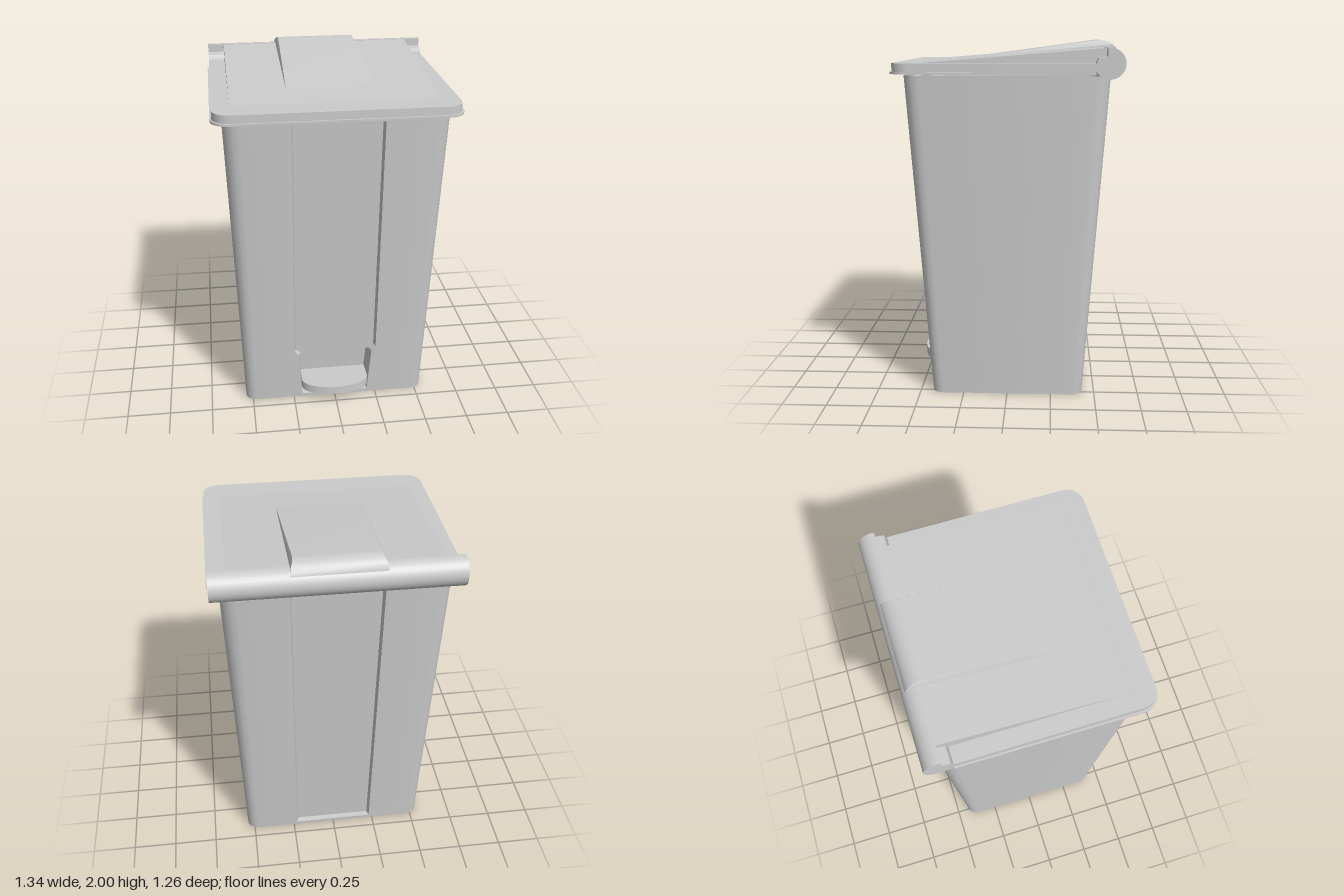
import * as THREE from 'three';
import { toCreasedNormals } from 'three/addons/utils/BufferGeometryUtils.js';

const material = new THREE.MeshStandardMaterial({ color: 0xcccccc });
const shellMaterial = new THREE.MeshStandardMaterial({ color: 0xcccccc, side: THREE.DoubleSide });
const lerp = THREE.MathUtils.lerp;

function part(name, geometry, mat = material) {
  const mesh = new THREE.Mesh(toCreasedNormals(geometry, 0.6), mat);
  mesh.name = name;
  return mesh;
}

// Side profile in [z, y], extruded across x and centred
function acrossX(profile, width) {
  const shape = new THREE.Shape(profile.map(([z, y]) => new THREE.Vector2(z, y)));
  const g = new THREE.ExtrudeGeometry(shape, { depth: width, bevelEnabled: false });
  return g.translate(0, 0, -width / 2).rotateY(-Math.PI / 2);
}

// Plan shape (shape y = -z) extruded upwards from y0 to y1
function upright(shape, y0, y1, curveSegments = 5) {
  const g = new THREE.ExtrudeGeometry(shape, { depth: y1 - y0, bevelEnabled: false, curveSegments });
  return g.rotateX(-Math.PI / 2).translate(0, y0, 0);
}

// One horizontal section of the bin, with a notch in the front and the back
function binSection(y, frontW, frontD, backD) {
  const t = y / 1.815;
  const hx = lerp(0.54, 0.61, t), hz = lerp(0.43, 0.56, t);
  const r = lerp(0.06, 0.085, t), backW = lerp(0.23, 0.25, t);
  const pts = [];
  const notch = (s, w, d) => {
    for (const [x, depth] of [[-w, 0], [-w + 0.01, d], [w - 0.01, d], [w, 0]]) {
      pts.push([s * x, y, s * (hz - depth)]);
    }
  };
  const corner = (sx, sz, start) => {
    for (let i = 0; i <= 4; i++) {
      const a = start + (i / 4) * Math.PI / 2;
      pts.push([sx * (hx - r) + r * Math.sin(a), y, sz * (hz - r) + r * Math.cos(a)]);
    }
  };
  notch(1, frontW, frontD);
  corner(1, 1, 0);
  corner(1, -1, Math.PI / 2);
  notch(-1, backW, backD);
  corner(-1, -1, Math.PI);
  corner(-1, 1, Math.PI * 1.5);
  return pts;
}

function binGeometry() {
  // Height, front notch half-width, front depth, back depth
  const rows = [
    [0, 0.2, 0, 0],
    [0.02, 0.2, 0, 0],
    [0.025, 0.2, 0.12, 0.03],
    [0.31, 0.22, 0.12, 0.03],
    [0.312, 0.22, 0.03, 0.03],
    [0.34, 0.245, 0.03, 0.03],
    [1.795, 0.25, 0.03, 0.03],
    [1.796, 0.25, 0, 0],
    [1.815, 0.25, 0, 0],
  ].map((row) => binSection(...row));
  const n = rows[0].length;
  const index = [];
  for (let r = 0; r < rows.length - 1; r++) {
    for (let i = 0; i < n; i++) {
      const a = r * n + i, b = r * n + (i + 1) % n;
      index.push(a, b, b + n, a, b + n, a + n);
    }
  }
  // Floor
  const centre = rows.length * n;
  for (let i = 0; i < n; i++) index.push(centre, (i + 1) % n, i);
  const g = new THREE.BufferGeometry();
  g.setAttribute('position', new THREE.Float32BufferAttribute([...rows.flat(2), 0, 0, 0], 3));
  g.setIndex(index);
  return g;
}

// Lid plan: square at the hinge, rounded at the front
function lidShape(hw, front, r) {
  const s = new THREE.Shape();
  s.moveTo(hw, 0.475);
  s.lineTo(-hw, 0.475);
  s.lineTo(-hw, -front + r);
  s.absarc(-hw + r, -front + r, r, Math.PI, Math.PI * 1.5);
  s.absarc(hw - r, -front + r, r, Math.PI * 1.5, Math.PI * 2);
  s.closePath();
  return s;
}

// Height of the sloping lid panel at z
const slope = (z) => 1.882 + (0.46 - z) * 0.08;

function createLid() {
  const lid = new THREE.Group();
  lid.name = 'lid';
  lid.add(part('lidFlange', upright(lidShape(0.67, 0.627, 0.1), 1.825, 1.837)));
  lid.add(part('lidRim', upright(lidShape(0.66, 0.617, 0.095), 1.837, 1.882)));
  lid.add(part('slopingPanel',
    acrossX([[0.46, 1.86], [0.46, slope(0.46)], [-0.55, slope(-0.55)], [-0.55, 1.86]], 1.13)));

  // Raised middle panel, its sides leaning in above the slope
  const hump = acrossX([[0.24, slope(0.24)], [-0.5, 1.999], [-0.53, 2], [-0.56, 1.993],
    [-0.585, 1.978], [-0.605, 1.955], [-0.61, 1.93], [-0.55, 1.88], [0.24, 1.87]], 0.5);
  const p = hump.attributes.position;
  for (let i = 0; i < p.count; i++) {
    const rise = Math.max(0, p.getY(i) - slope(p.getZ(i)));
    p.setX(i, Math.sign(p.getX(i)) * (0.25 - 0.5 * rise));
  }
  lid.add(part('raisedPanel', hump));

  // Hinge roll with its upper front cut back at both ends
  const roll = [];
  for (let i = 0; i <= 20; i++) {
    const a = lerp(Math.PI * 0.45, Math.PI * 1.82, i / 20);
    roll.push([-0.548 + 0.083 * Math.cos(a), 1.882 + 0.083 * Math.sin(a)]);
  }
  roll.push([-0.475, 1.85], [-0.475, 1.882], [-0.488, 1.91], [-0.535, 1.918]);
  lid.add(part('hingeRoll', acrossX(roll, 1.32)));
  return lid;
}

function createPedal() {
  const s = new THREE.Shape();
  s.moveTo(0.2, -0.28);
  s.lineTo(-0.2, -0.28);
  s.lineTo(-0.2, -0.43);
  s.absellipse(0, -0.43, 0.2, 0.1, Math.PI, Math.PI * 2);
  s.closePath();
  return part('pedal', upright(s, 0.07, 0.12, 12));
}

export function createModel() {
  const model = new THREE.Group();
  model.name = 'pedalBin';
  model.add(part('binBody', binGeometry(), shellMaterial), createPedal(), createLid());
  return model;
}
